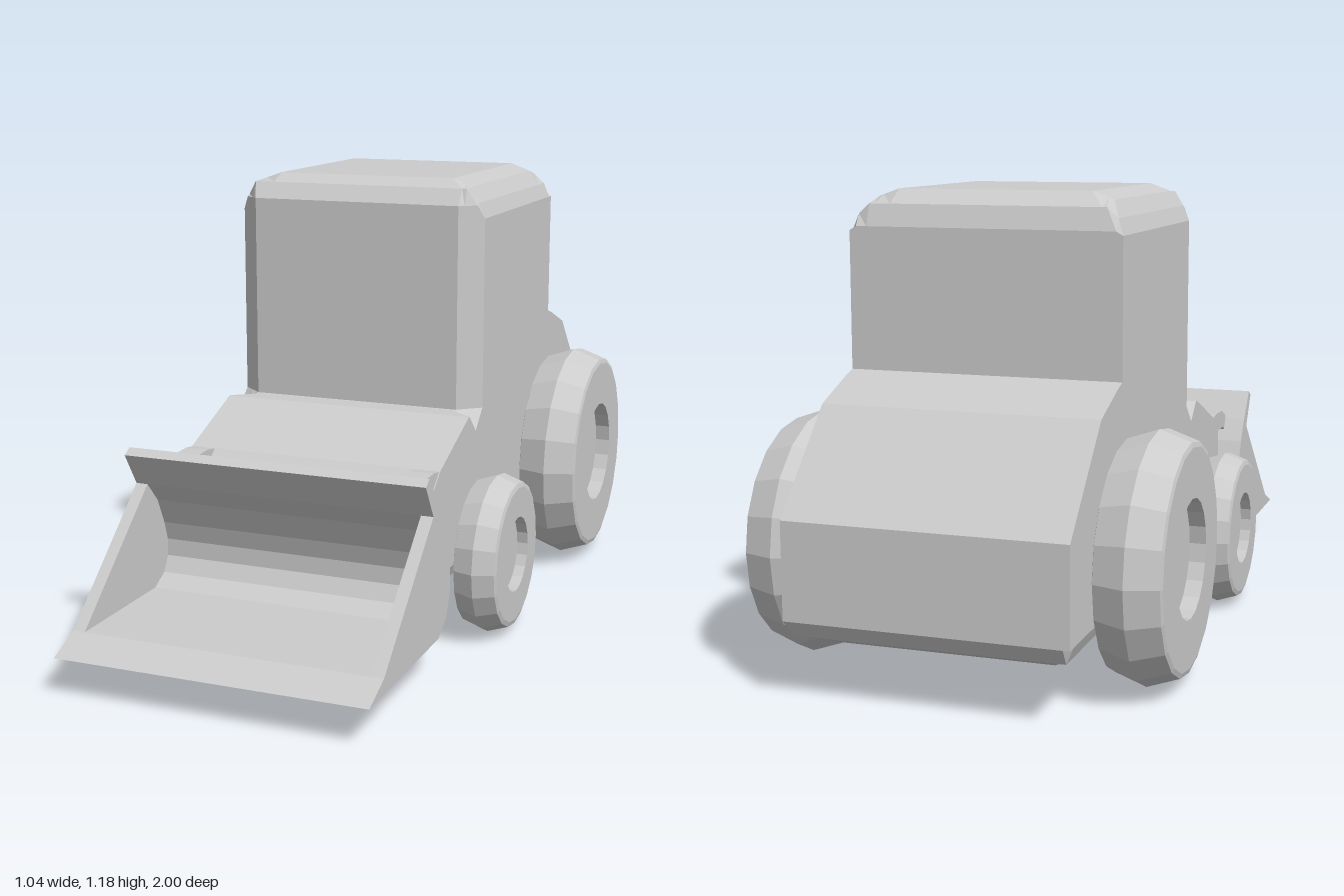
import * as THREE from 'three';

const grey = new THREE.MeshStandardMaterial({ color: 0xcccccc, flatShading: true });

function addMesh(parent, name, geometry) {
  const mesh = new THREE.Mesh(geometry, grey);
  mesh.name = name;
  parent.add(mesh);
  return mesh;
}

// Extrude a side profile of [z, y] points between x0 and x1.
function extrudeSide(points, x0, x1) {
  const shape = new THREE.Shape(points.map(([z, y]) => new THREE.Vector2(z, y)));
  const geo = new THREE.ExtrudeGeometry(shape, { depth: x1 - x0, bevelEnabled: false });
  return geo.rotateY(-Math.PI / 2).translate(x1, 0, 0);
}

// Side profile of chassis and cab; roof, pillar and belly are cut back near the sides.
function bodyProfile({ roof, pillar, belly, notchZ, notchY }) {
  const cab = [[0.09, 1.115], [0.06, 1.158], [0.01, 1.18], [-0.52, 1.18], [-0.58, 1.145], [-0.6, 1.09]]
    .map(([z, y], i) => [Math.min(z, pillar - i * 0.012), Math.min(y, roof)]);
  const bottom = [[-1, 0.2], [-0.975, 0.16], [-0.93, 0.14], [0.38, 0.14], [0.42, 0.16], [0.44, 0.2]]
    .map(([z, y]) => [z, Math.max(y, belly)]);
  return [
    [0.44, 0.43], [0.38, 0.48], [0.155, 0.57], [notchZ, 0.57], [(notchZ + pillar) / 2, notchY], [pillar, 0.571],
    ...cab,
    [-0.6, 0.735], [-0.635, 0.725], [-0.77, 0.675], [-1, 0.44],
    ...bottom,
  ];
}

// Loft the body across x through mirrored cross-sections, closing both sides.
function bodyGeometry() {
  const half = [
    { x: 0.35, roof: 1.08, pillar: 0.04, belly: 0.2, notchZ: 0.15, notchY: 0.52 },
    { x: 0.333, roof: 1.12, pillar: 0.054, belly: 0.16, notchZ: 0.136, notchY: 0.534 },
    { x: 0.305, roof: 1.16, pillar: 0.078, belly: 0.145, notchZ: 0.113, notchY: 0.558 },
    { x: 0.292, roof: 1.165, pillar: 0.09, belly: 0.14, notchZ: 0.1, notchY: 0.57 },
    { x: 0.25, roof: 1.18, pillar: 0.09, belly: 0.14, notchZ: 0.1, notchY: 0.57 },
  ];
  const sections = [...half.map((s) => ({ ...s, x: -s.x })), ...half.slice().reverse()];
  const positions = [], index = [];
  let n = 0;
  for (const s of sections) {
    const profile = bodyProfile(s);
    n = profile.length;
    for (const [z, y] of profile) positions.push(s.x, y, z);
  }
  for (let k = 0; k < sections.length - 1; k++) {
    for (let i = 0; i < n; i++) {
      const a = k * n + i, b = k * n + (i + 1) % n;
      index.push(a, a + n, b, b, a + n, b + n);
    }
  }
  const outline = bodyProfile(half[0]).map(([z, y]) => new THREE.Vector2(z, y));
  const last = (sections.length - 1) * n;
  for (const [a, b, c] of THREE.ShapeUtils.triangulateShape(outline, [])) {
    index.push(a, b, c, last + a, last + c, last + b);
  }
  const geo = new THREE.BufferGeometry();
  geo.setAttribute('position', new THREE.Float32BufferAttribute(positions, 3));
  geo.setIndex(index);
  const flat = geo.toNonIndexed();
  flat.computeVertexNormals();
  return flat;
}

// Ridged tyre with a recessed hub on both faces, axle along x.
function wheelGeometry(radius, shoulder, hub, halfWidth) {
  const inset = halfWidth * 0.5;
  const profile = [
    [0, -inset], [hub, -inset], [hub, -halfWidth], [shoulder - 0.012, -halfWidth], [shoulder, -halfWidth + 0.004],
    [radius, 0],
    [shoulder, halfWidth - 0.004], [shoulder - 0.012, halfWidth], [hub, halfWidth], [hub, inset], [0, inset],
  ].map(([r, h]) => new THREE.Vector2(r, h));
  return new THREE.LatheGeometry(profile, 20).rotateZ(-Math.PI / 2);
}

export function createModel() {
  const model = new THREE.Group();
  model.name = 'tractor';

  addMesh(model, 'bodyAndCab', bodyGeometry());

  // Wheels: large at the rear, small at the front
  const rear = wheelGeometry(0.31, 0.283, 0.147, 0.083);
  const front = wheelGeometry(0.21, 0.192, 0.1, 0.058);
  for (const [side, s] of [['left', 1], ['right', -1]]) {
    addMesh(model, side + 'RearWheel', rear).position.set(s * 0.437, 0.315, -0.583);
    addMesh(model, side + 'FrontWheel', front).position.set(s * 0.432, 0.212, 0.16);
  }

  // Lift arms
  const arm = [
    [0.36, 0.43], [0.44, 0.43], [0.52, 0.43], [0.54, 0.41], [0.56, 0.42],
    [0.565, 0.445], [0.54, 0.465], [0.5, 0.482], [0.42, 0.485], [0.375, 0.478],
  ];
  addMesh(model, 'leftArm', extrudeSide(arm, 0.283, 0.347));
  addMesh(model, 'rightArm', extrudeSide(arm, -0.347, -0.283));

  // Bucket: curved shell with a top lip, closed by two side plates
  const bucket = new THREE.Group();
  bucket.name = 'bucket';
  model.add(bucket);
  const outer = [
    [0.615, 0.527], [0.55, 0.45], [0.51, 0.39], [0.473, 0.31], [0.456, 0.25],
    [0.458, 0.19], [0.485, 0.135], [0.54, 0.1], [1, 0.1],
  ];
  const inner = [
    [0.91, 0.138], [0.56, 0.138], [0.51, 0.165], [0.487, 0.205],
    [0.486, 0.25], [0.502, 0.3], [0.535, 0.37], [0.585, 0.425],
  ];
  addMesh(bucket, 'bucketShell', extrudeSide([...outer, ...inner, [0.64, 0.512]], -0.405, 0.405));
  addMesh(bucket, 'leftBucketSide', extrudeSide(inner, 0.373, 0.405));
  addMesh(bucket, 'rightBucketSide', extrudeSide(inner, -0.405, -0.373));

  return model;
}
